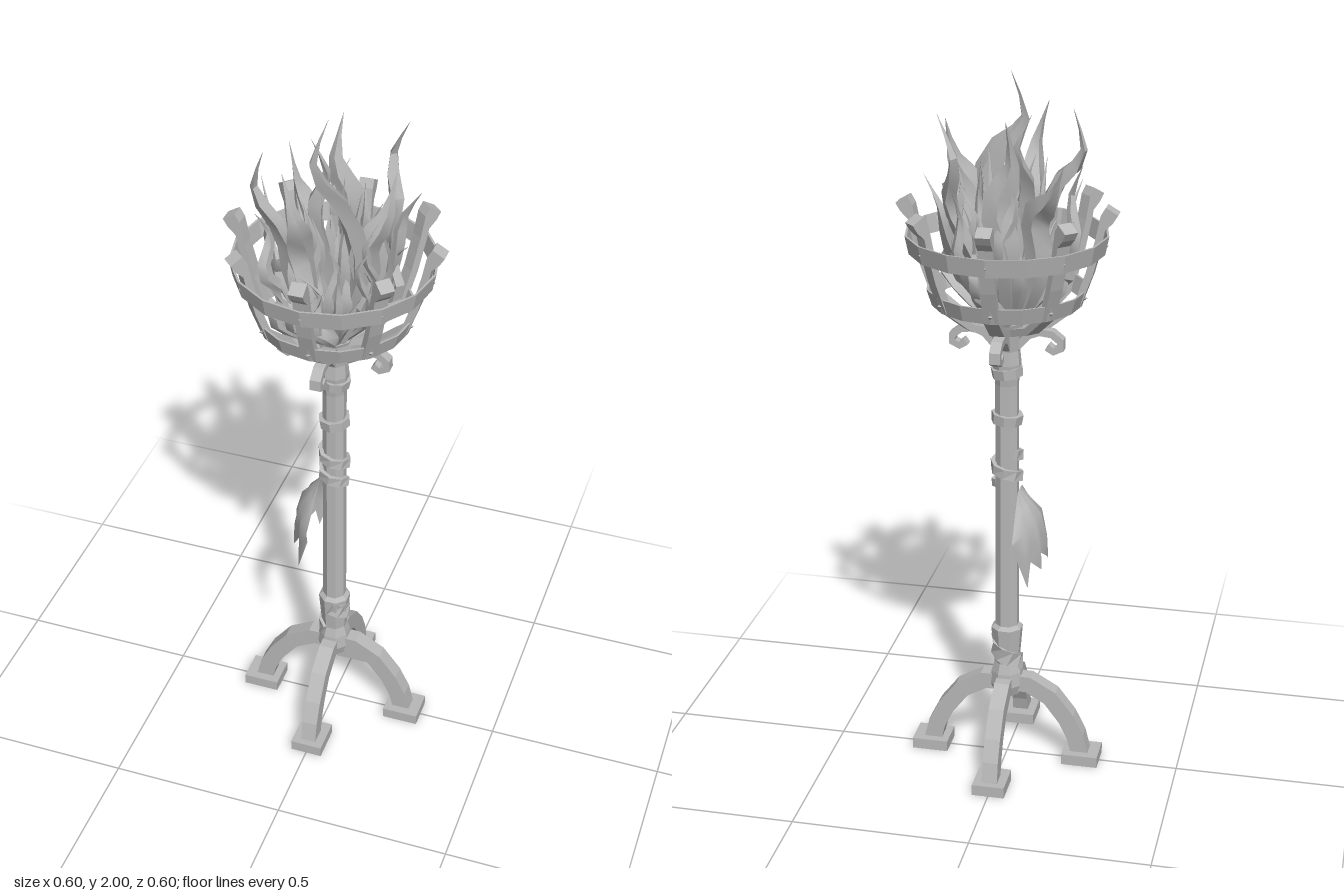
import * as THREE from 'three';
import { toCreasedNormals } from 'three/addons/utils/BufferGeometryUtils.js';

const iron = new THREE.MeshStandardMaterial({ color: 0xb8b8b8, side: THREE.DoubleSide });
iron.name = 'plain grey';

const V = (x, y, z) => new THREE.Vector3(x, y, z);

// Small seeded generator
let seed = 11;
const rnd = (a, b) => {
  seed = (seed * 16807) % 2147483647;
  return a + (b - a) * (seed / 2147483647);
};

// Faceted copy of a geometry
function flat(geo) {
  const g = geo.index ? geo.toNonIndexed() : geo;
  g.computeVertexNormals();
  return g;
}

function add(parent, name, geo) {
  const mesh = new THREE.Mesh(geo, iron);
  mesh.name = name;
  parent.add(mesh);
  return mesh;
}

// Four-sided bar along points; size(t) gives [halfWidth, halfDepth], side(i) the width direction
function sweep(points, size, side, diamond = false) {
  const pos = [], idx = [], n = points.length;
  const corners = diamond ? [[1, 0], [0, 1], [-1, 0], [0, -1]] : [[1, -1], [1, 1], [-1, 1], [-1, -1]];
  points.forEach((p, i) => {
    const t = points[Math.min(i + 1, n - 1)].clone().sub(points[Math.max(i - 1, 0)]).normalize();
    const u = side(i).clone();
    u.addScaledVector(t, -u.dot(t)).normalize();
    const v = t.clone().cross(u);
    const [w, d] = size(i / (n - 1));
    corners.forEach(([a, b]) => pos.push(...p.clone().addScaledVector(u, a * w).addScaledVector(v, b * d)));
  });
  for (let i = 0; i < n - 1; i++) for (let k = 0; k < 4; k++) {
    const a = i * 4 + k, b = i * 4 + (k + 1) % 4;
    idx.push(a, b, a + 4, b, b + 4, a + 4);
  }
  const e = (n - 1) * 4;
  idx.push(0, 2, 1, 0, 3, 2, e, e + 1, e + 2, e, e + 2, e + 3);
  const g = new THREE.BufferGeometry();
  g.setAttribute('position', new THREE.Float32BufferAttribute(pos, 3));
  g.setIndex(idx);
  return g;
}

// Bar bent in the x-y plane, optionally thicker at its end
const bar = (pts, w, d, endD = d) =>
  flat(sweep(pts.map(([x, y]) => V(x, y, 0)), t => [w, t > 0.8 ? endD : d], () => V(0, 0, 1)));

// Sloping metal hoop
function hoop(r0, y0, r1, y1, thick, sides) {
  const p = [[r0, y0], [r1, y1], [r1 - thick, y1], [r0 - thick, y0], [r0, y0]];
  return flat(new THREE.LatheGeometry(p.map(([x, y]) => new THREE.Vector2(x, y)), sides));
}

// Strap wound round the pole
function strap(y0, y1, turns, start, r, h) {
  const pts = [], out = [], n = Math.ceil(turns * 8);
  for (let i = 0; i <= n; i++) {
    const a = start + (i / n) * turns * Math.PI * 2;
    pts.push(V(Math.cos(a) * r, y0 + (y1 - y0) * i / n, Math.sin(a) * r));
    out.push(V(Math.cos(a), 0, Math.sin(a)));
  }
  return flat(sweep(pts, () => [0.006, h], i => out[i]));
}

// Tapering tongue of fire
function flame(points, width, turn, twist) {
  const pts = new THREE.CatmullRomCurve3(points).getPoints(9);
  const size = t => {
    const k = width * (0.5 + 0.65 * Math.sin(Math.PI * Math.min(1, t * 1.05))) * Math.min(1, (1 - t) * 2.8) + 0.0004;
    return [k, k * 0.5];
  };
  const side = i => V(Math.cos(turn + twist * i / 9), 0.05, Math.sin(turn + twist * i / 9));
  return toCreasedNormals(sweep(pts, size, side, true), 0.6);
}

export function createModel() {
  const model = new THREE.Group();
  model.name = 'fireBasketStand';

  // Pole with flared foot and head
  const profile = [[0, 0.19], [0.04, 0.2], [0.05, 0.23], [0.046, 0.27], [0.037, 0.3], [0.046, 0.41], [0.034, 0.42],
    [0.033, 1.15], [0.04, 1.21], [0.036, 1.25], [0.044, 1.31], [0.05, 1.33], [0, 1.33]];
  const pole = add(model, 'pole', flat(new THREE.LatheGeometry(profile.map(([x, y]) => new THREE.Vector2(x, y)), 8)));
  pole.rotation.y = Math.PI / 8;

  // Straps and collars on the pole
  const straps = new THREE.Group();
  straps.name = 'poleStraps';
  model.add(straps);
  add(straps, 'footStrap', strap(0.285, 0.385, 0.9, 2.2, 0.04, 0.022));
  add(straps, 'middleStrap', strap(0.85, 0.95, 1.6, 0.1, 0.04, 0.014));
  [[1.05, 0.1], [1.185, -0.12]].forEach(([y, tilt]) => {
    const c = add(straps, 'collar', hoop(0.043, -0.014, 0.045, 0.014, 0.016, 8));
    c.position.y = y;
    c.rotation.z = tilt;
  });

  // Four arched legs with feet, and four scrolls below the basket
  const legPath = [[0.02, 0.235], [0.065, 0.235], [0.13, 0.198], [0.178, 0.135], [0.205, 0.08], [0.22, 0.02]];
  const scrollPath = [[0.03, 1.262], [0.06, 1.295], [0.09, 1.307], [0.125, 1.303], [0.149, 1.284], [0.15, 1.264],
    [0.13, 1.254], [0.112, 1.266]];
  for (let i = 0; i < 4; i++) {
    const quarter = new THREE.Group();
    quarter.name = 'legAndScroll';
    quarter.rotation.y = i * Math.PI / 2;
    model.add(quarter);
    add(quarter, 'leg', bar(legPath, 0.022, 0.025));
    add(quarter, 'foot', flat(new THREE.BoxGeometry(0.104, 0.032, 0.092))).position.set(i % 2 ? 0.21 : 0.222, 0.016, 0);
    add(quarter, 'scroll', bar(scrollPath, 0.015, 0.01));
  }

  // Basket: eight staves with thick outward tips, two hoops and rivets
  const stavePath = [[0.03, 1.305], [0.12, 1.335], [0.195, 1.395], [0.225, 1.48], [0.25, 1.575], [0.256, 1.605],
    [0.27, 1.632], [0.283, 1.654]];
  const basket = new THREE.Group();
  basket.name = 'basket';
  model.add(basket);
  for (let i = 0; i < 8; i++) {
    const arm = new THREE.Group();
    arm.name = 'staveGroup';
    arm.rotation.y = i * Math.PI / 4;
    basket.add(arm);
    add(arm, 'stave', bar(stavePath, 0.02, 0.01, 0.019));
    [[0.213, 1.408], [0.268, 1.555]].forEach(([x, y]) => {
      const rivet = add(arm, 'rivet', flat(new THREE.ConeGeometry(0.009, 0.01, 4)));
      rivet.position.set(x, y, 0);
      rivet.rotation.z = -Math.PI / 2;
    });
  }
  add(basket, 'lowerHoop', hoop(0.204, 1.385, 0.218, 1.43, 0.006, 16));
  add(basket, 'upperHoop', hoop(0.264, 1.53, 0.274, 1.58, 0.006, 16));

  // Tall flames
  const fire = new THREE.Group();
  fire.name = 'fire';
  model.add(fire);
  const tall = [
    [[0, 1.33, 0.02], [0.09, 1.58, 0.06], [0.055, 1.76, 0.07], [-0.035, 1.86, 0.06], [0, 2, 0.045]],
    [[-0.03, 1.33, 0.02], [-0.09, 1.53, 0.08], [-0.11, 1.68, 0.09], [-0.19, 1.78, 0.07], [-0.16, 1.9, 0.08]],
    [[0.02, 1.33, -0.03], [0.07, 1.53, -0.1], [0.13, 1.68, -0.11], [0.1, 1.8, -0.17], [0.15, 1.92, -0.15]],
    [[-0.02, 1.33, 0.04], [-0.02, 1.5, 0.12], [-0.05, 1.65, 0.11], [-0.04, 1.77, 0.18], [-0.08, 1.9, 0.165]],
    [[0.03, 1.33, 0.02], [0.1, 1.52, 0.03], [0.1, 1.66, 0.06], [0.15, 1.75, 0.05], [0.17, 1.87, 0.02]],
    [[-0.01, 1.33, -0.04], [-0.03, 1.53, -0.12], [0, 1.68, -0.13], [-0.04, 1.78, -0.13], [-0.03, 1.91, -0.16]],
    [[-0.03, 1.33, -0.02], [-0.1, 1.5, -0.07], [-0.09, 1.64, -0.07], [-0.14, 1.7, -0.12], [-0.18, 1.8, -0.16]],
    [[0, 1.33, 0], [-0.02, 1.55, 0], [-0.06, 1.7, -0.01], [-0.03, 1.8, -0.03], [-0.07, 1.9, -0.02]],
    [[0.03, 1.33, -0.02], [0.12, 1.48, -0.06], [0.14, 1.58, -0.08], [0.15, 1.66, -0.11], [0.2, 1.75, -0.1]],
  ];
  tall.forEach((pts, i) =>
    add(fire, 'tallFlame', flame(pts.map(p => V(...p)), 0.036, i * 0.5, 1)));

  // Short flames filling the basket
  for (let i = 0; i < 52; i++) {
    const a = i * 2.4, swirl = rnd(-0.5, 0.5), reach = rnd(0.04, 0.21), top = rnd(1.52, 1.8);
    const at = (r, ang, y) => V(Math.cos(a + ang) * r, y, Math.sin(a + ang) * r);
    const h = top - 1.32;
    const pts = [at(0.025, 0, 1.32), at(reach * 0.62, 0, 1.32 + h * 0.3), at(reach * 0.9, swirl, 1.32 + h * 0.55),
      at(reach * 0.82, swirl * 0.4, 1.32 + h * 0.78), at(reach, swirl, top)];
    add(fire, 'shortFlame', flame(pts, rnd(0.014, 0.025), rnd(0, 3), rnd(-1, 1)));
  }

  // Torn cloth draped over the right side of the pole
  const hem = [0.7, 0.58, 0.65, 0.62, 0.66, 0.64, 0.67, 0.61, 0.66, 0.57, 0.69];
  const cloth = new THREE.PlaneGeometry(2, 1, 10, 4);
  const p = cloth.attributes.position;
  for (let i = 0; i < p.count; i++) {
    const u = p.getX(i), v = 0.5 - p.getY(i), col = i % 11;
    const half = v < 0.5 ? 0.03 + 0.19 * v : 0.125 - 0.02 * (v - 0.5);
    const shoulder = 0.77 - 0.04 * u * u;
    const y = v < 0.5 ? 0.84 + (shoulder - 0.84) * v * 2 : shoulder + (hem[col] - shoulder) * (v - 0.5) * 2;
    const x = -0.036 - 0.068 * Math.min(1, v * 1.6) * (1 - 0.92 * u * u) - (col % 2) * 0.014 * v;
    p.setXYZ(i, x, y, u * half);
  }
  cloth.computeVertexNormals();
  add(model, 'tornCloth', cloth);

  return model;
}
